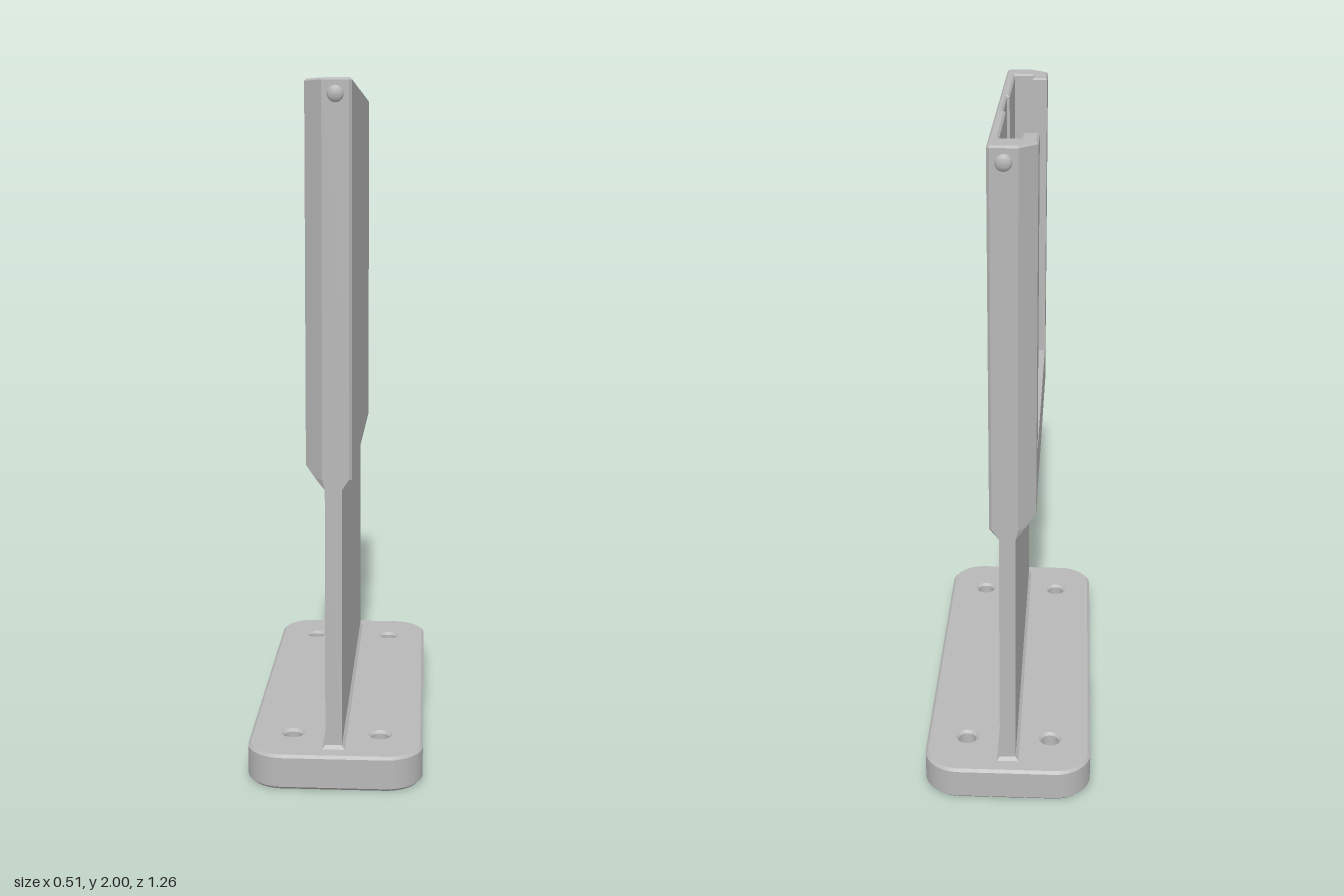
import * as THREE from 'three';
import { toCreasedNormals } from 'three/addons/utils/BufferGeometryUtils.js';

const HALF = 0.57;        // half length of post and holder
const SHOULDER = 0.93;    // where the holder reaches full section
const SILL = 1.08;        // bottom edge of the window

const pts = (list) => list.map(([x, z]) => new THREE.Vector2(x, z));
const mirrorZ = (list) => [...list, ...list.map(([x, z]) => [x, -z]).reverse()];
const rect = (x0, x1, h) => pts([[x0, -h], [x1, -h], [x1, h], [x0, h]]);

// Extrude a plan (x, z) upward from y0 to y1, with an optional small bevel
function extrudeUp(shape, y0, y1, bevel = 0) {
  const g = new THREE.ExtrudeGeometry(shape, {
    depth: y1 - y0 - 2 * bevel, bevelEnabled: bevel > 0, bevelThickness: bevel,
    bevelSize: bevel, bevelOffset: -bevel, bevelSegments: 1, curveSegments: 12,
  });
  g.rotateX(-Math.PI / 2);
  g.translate(0, y0 + bevel, 0);
  return toCreasedNormals(g, 0.5);
}

// Skin between plan loops at given heights
function loft(levels) {
  const pos = [];
  for (let k = 0; k + 1 < levels.length; k++) {
    const [ya, a] = levels[k], [yb, b] = levels[k + 1];
    for (let i = 0; i < a.length; i++) {
      const j = (i + 1) % a.length;
      const A = [a[i][0], ya, a[i][1]], B = [a[j][0], ya, a[j][1]];
      const C = [b[j][0], yb, b[j][1]], D = [b[i][0], yb, b[i][1]];
      pos.push(...A, ...B, ...C, ...A, ...C, ...D);
    }
  }
  const g = new THREE.BufferGeometry();
  g.setAttribute('position', new THREE.Float32BufferAttribute(pos, 3));
  g.computeVertexNormals();
  return g;
}

// Half plan of the holder's outside, from the window side to the flat side
const outline = (left, corner, right, cut) => mirrorZ([
  [left, corner], [-0.033, HALF], [right - cut, HALF], [right, HALF - cut],
]);

export function createModel() {
  const model = new THREE.Group();
  const grey = new THREE.MeshStandardMaterial({ color: 0xb8b8b8 });
  grey.name = 'light grey';
  const add = (name, geometry) => {
    const mesh = new THREE.Mesh(geometry, grey);
    mesh.name = name;
    model.add(mesh);
    return mesh;
  };
  const slot = () => new THREE.Path(rect(-0.022, 0.015, 0.115));

  // Rounded foot plate with four screw holes and a cable slot
  const bx = 0.256, bz = 0.63, r = 0.11;
  const foot = new THREE.Shape();
  foot.absarc(bx - r, bz - r, r, 0, Math.PI / 2);
  foot.absarc(-bx + r, bz - r, r, Math.PI / 2, Math.PI);
  foot.absarc(-bx + r, -bz + r, r, Math.PI, Math.PI * 1.5);
  foot.absarc(bx - r, -bz + r, r, Math.PI * 1.5, Math.PI * 2);
  foot.closePath();
  for (const x of [-0.13, 0.13]) for (const z of [-0.46, 0.46]) {
    foot.holes.push(new THREE.Path().absarc(x, z, 0.027, 0, Math.PI * 2, true));
  }
  foot.holes.push(slot());
  add('footPlate', extrudeUp(foot, 0, 0.103, 0.008));

  // Hollow post and the small skirt where it meets the foot
  const post = new THREE.Shape(rect(-0.026, 0.022, HALF));
  post.holes.push(slot());
  add('post', extrudeUp(post, 0.1, SHOULDER - 0.02));
  const ring = (e) => mirrorZ([[-0.026 - e, HALF + e], [0.022 + e, HALF + e]]);
  add('postSkirt', loft([[0.102, ring(0.01)], [0.113, ring(0)]]));

  // Tapered underside of the holder
  const low = mirrorZ([[-0.026, HALF], [-0.026, HALF], [0.022, HALF], [0.022, HALF]]);
  const midLeft = -0.055;
  const mid = outline(midLeft, 0.548, 0.05, 0.008);
  const full = outline(-0.083, 0.52, 0.05, 0.008);
  add('holderTaper', loft([[0.868, low], [0.898, mid], [SHOULDER, full]]));

  // Pocket floor, open above the cable slot
  const floor = new THREE.Shape(rect(-0.04, 0.035, 0.485));
  floor.holes.push(slot());
  add('pocketFloor', extrudeUp(floor, SHOULDER - 0.02, SHOULDER));

  // Closed lower frame around the pocket, with a shallow cable groove
  const pocket = [[0.03, 0.115], [0.022, 0.115], [0.022, 0.478], [-0.035, 0.478]];
  const frame = new THREE.Shape(pts(full));
  frame.holes.push(new THREE.Path(pts(mirrorZ(pocket))));
  add('lowerFrame', extrudeUp(frame, SHOULDER, SILL));

  // Upper frame, open between the two lips
  const half = [
    ...pocket, [-0.035, 0.405], [-0.083, 0.405],
    [-0.083, 0.52], [-0.033, HALF], [0.042, HALF], [0.05, HALF - 0.008],
  ];
  add('upperFrame', extrudeUp(new THREE.Shape(pts(mirrorZ(half))), SILL - 0.012, 2, 0.006));

  // Rounded studs on both ends
  for (const side of [-1, 1]) {
    const profile = pts([[0.023, -0.005], [0.023, 0.004], [0.018, 0.009], [0.01, 0.012], [0, 0.013]]);
    const stud = add(side > 0 ? 'frontStud' : 'backStud', new THREE.LatheGeometry(profile, 20));
    stud.rotation.x = side * Math.PI / 2;
    stud.position.set(0.005, 1.957, side * HALF);
  }
  return model;
}
